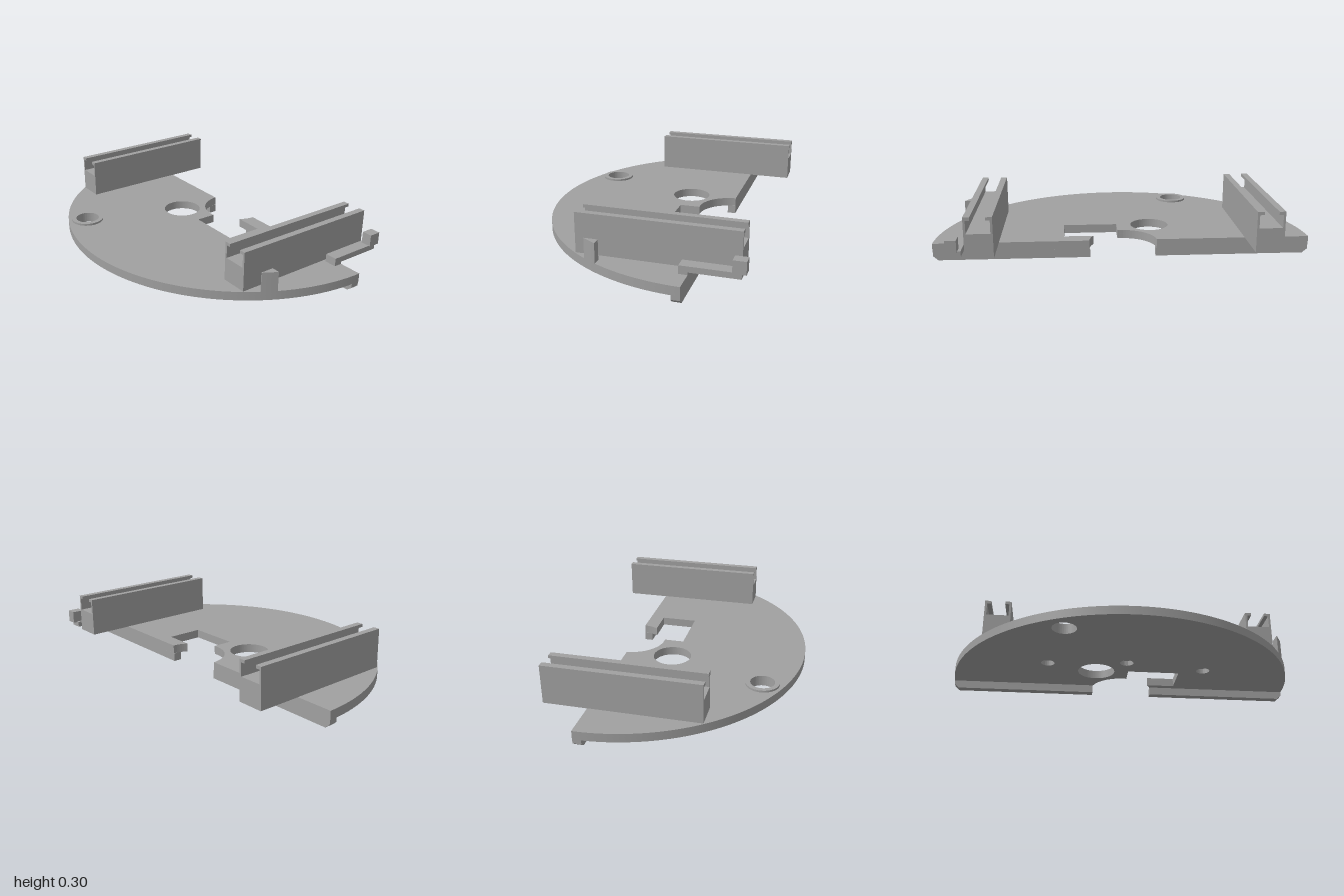
import * as THREE from 'three';
import { toCreasedNormals } from 'three/addons/utils/BufferGeometryUtils.js';

const grey = new THREE.MeshStandardMaterial({ color: 0xa0a0a0 });
grey.name = 'grey plastic';

function add(group, name, geometry) {
  const mesh = new THREE.Mesh(geometry, grey);
  mesh.name = name;
  group.add(mesh);
  return mesh;
}

// Box given by its limits on each axis
function box(group, name, [x0, x1], [y0, y1], [z0, z1]) {
  const mesh = add(group, name, new THREE.BoxGeometry(x1 - x0, y1 - y0, z1 - z0));
  mesh.position.set((x0 + x1) / 2, (y0 + y1) / 2, (z0 + z1) / 2);
}

// Upright extrusion of a plan drawn with shape y = -z
function slab(shape, y0, y1) {
  const geo = new THREE.ExtrudeGeometry(shape, { depth: y1 - y0, bevelEnabled: false, curveSegments: 64 });
  geo.rotateX(-Math.PI / 2).translate(0, y0, 0);
  return toCreasedNormals(geo, 0.5);
}

// Extrusion along z of a section in x and y
function bar(points, z0, z1) {
  const shape = new THREE.Shape(points.map(([x, y]) => new THREE.Vector2(x, y)));
  return new THREE.ExtrudeGeometry(shape, { depth: z1 - z0, bevelEnabled: false }).translate(0, 0, z0);
}

function circleHole(shape, x, z, r) {
  shape.holes.push(new THREE.Path().absarc(x, -z, r, 0, Math.PI * 2, true));
}

// Half disc with a round notch and a rectangular cutout in its back edge
function plateShape() {
  const s = new THREE.Shape();
  s.absarc(0, 0.37, 1, Math.PI + 0.01, Math.PI * 2 - 0.01, false);
  s.absarc(0, 0.37, 0.18, -0.056, -0.523, true);
  s.lineTo(0.315, 0.28);
  s.lineTo(0.315, 0.08);
  s.lineTo(0.02, 0.08);
  s.absarc(0, 0.37, 0.18, -1.46, -Math.PI + 0.056, true);
  s.closePath();
  circleHole(s, -0.165, -0.095, 0.105);
  circleHole(s, -0.36, 0.445, 0.065);
  return s;
}

export function createModel() {
  const model = new THREE.Group();
  model.name = 'bracketPlate';

  // Plate: the lower layer carries the blind holes
  const lower = plateShape();
  for (const [x, z] of [[-0.445, 0.0], [0, 0.04], [0.45, -0.03]]) circleHole(lower, x, z, 0.038);
  add(model, 'plateLower', slab(lower, 0.045, 0.075));
  add(model, 'plateUpper', slab(plateShape(), 0.075, 0.092));

  // Raised ring around the front hole
  const ring = new THREE.Shape().absarc(-0.36, -0.445, 0.09, 0, Math.PI * 2, false);
  circleHole(ring, -0.36, 0.445, 0.065);
  add(model, 'holeRing', slab(ring, 0.092, 0.103));

  for (const side of [-1, 1]) {
    const label = side > 0 ? 'left' : 'right';

    // Lip under the back edge, chamfered at its outer end
    const lip = [[0.175, 0.045], [0.175, 0], [0.972, 0], [0.998, 0.022], [0.998, 0.045]];
    add(model, label + 'BackLip', bar(lip.map(([x, y]) => [x * side, y]), -0.36, -0.315));

    // Slotted rail: solid base, thin walls and small inward lips
    const half = [[0.0715, 0.091], [0.0715, 0.302], [0.0375, 0.302], [0.0375, 0.286], [0.06, 0.286], [0.06, 0.217]];
    const section = [...half, ...half.map(([x, y]) => [-x, y]).reverse()];
    const rail = add(model, label + 'Rail', bar(section, -0.595, 0.227));
    rail.position.x = 0.725 * side;
  }

  // Small post following the rim
  const post = new THREE.Shape();
  post.moveTo(0.845, -0.088);
  post.lineTo(0.845, -0.16);
  post.absarc(0, 0.37, 1, -0.559, -0.476, false);
  post.closePath();
  add(model, 'rimPost', slab(post, 0.09, 0.197));

  // Clip arm reaching past the back edge
  box(model, 'clipFoot', [0.812, 0.877], [0.09, 0.12], [-0.36, -0.315]);
  box(model, 'clipArm', [0.812, 0.877], [0.105, 0.135], [-0.608, -0.315]);
  box(model, 'clipEnd', [0.828, 0.883], [0.131, 0.197], [-0.63, -0.565]);

  return model;
}
